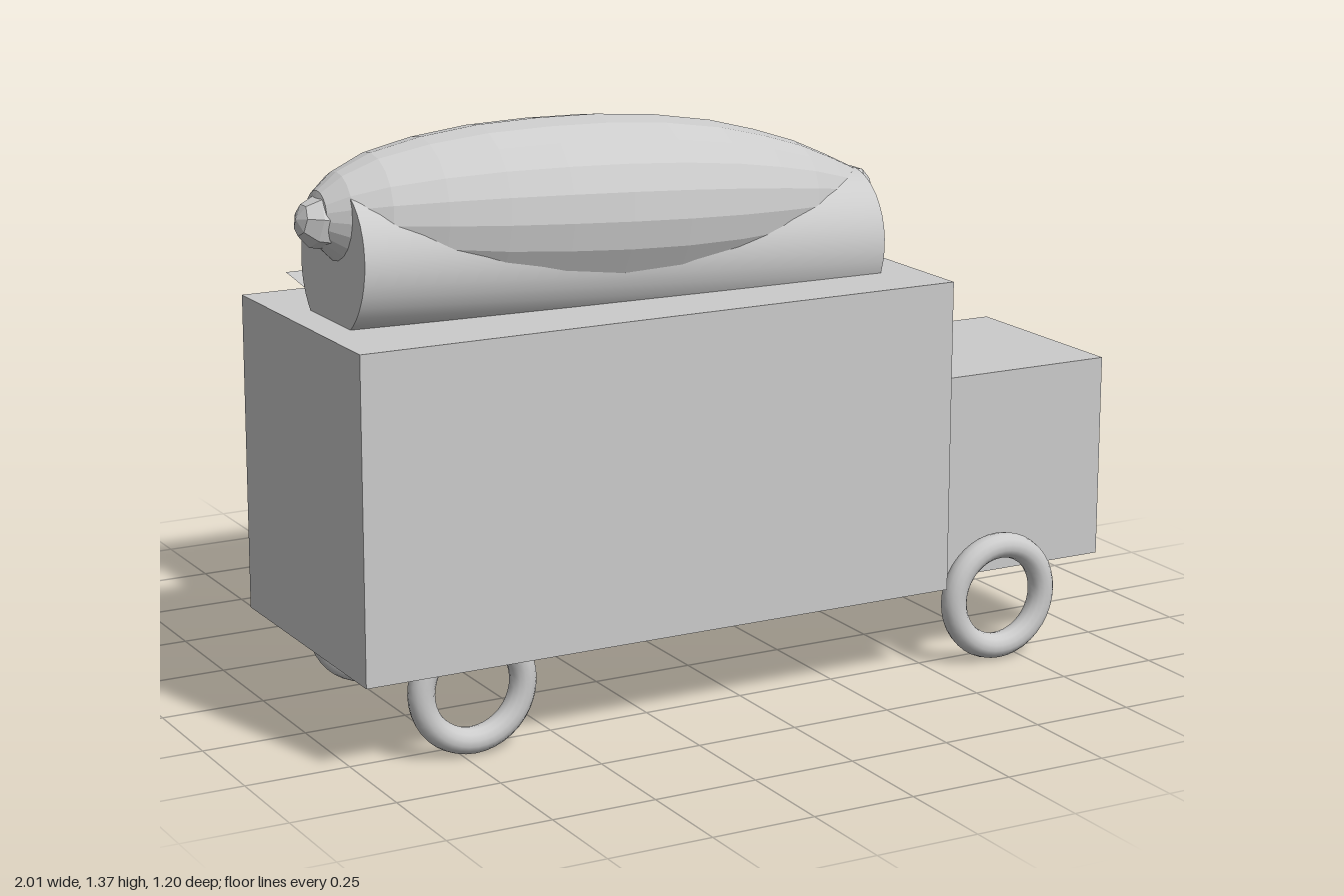
import * as THREE from 'three';

const grey = new THREE.MeshStandardMaterial({ color: 0xcccccc });
const facetedGrey = new THREE.MeshStandardMaterial({ color: 0xcccccc, flatShading: true });
const thinGrey = new THREE.MeshStandardMaterial({ color: 0xcccccc, side: THREE.DoubleSide });

export function createModel() {
  const model = new THREE.Group();
  model.name = 'foodTruck';

  const add = (name, geometry, material, x, y, z) => {
    const mesh = new THREE.Mesh(geometry, material);
    mesh.name = name;
    mesh.position.set(x, y, z);
    model.add(mesh);
    return mesh;
  };

  // Box given by its limits on each axis
  const addBox = (name, [x0, x1], [y0, y1], [z0, z1]) =>
    add(name, new THREE.BoxGeometry(x1 - x0, y1 - y0, z1 - z0), grey,
      (x0 + x1) / 2, (y0 + y1) / 2, (z0 + z1) / 2);

  // Body and cab
  addBox('body', [-1, 0.51], [0.215, 0.965], [-0.062, 0.6]);
  addBox('cab', [0.51, 1], [0.215, 0.71], [0.02, 0.52]);

  // Wheels: plain rings
  for (const [end, x] of [['rear', -0.72], ['front', 0.69]]) {
    for (const [side, z] of [['Right', 0.55], ['Left', -0.013]]) {
      add(`${end}Wheel${side}`, new THREE.TorusGeometry(0.126, 0.031, 14, 40), grey, x, 0.16, z);
    }
  }

  // Serving hatch on the back side and its raised awning
  add('servingHatch', new THREE.PlaneGeometry(0.945, 0.36), thinGrey, -0.195, 0.63, -0.065);
  const awningLength = Math.hypot(0.535, 0.07);
  const awning = add('awning', new THREE.PlaneGeometry(0.945, awningLength), thinGrey,
    -0.195, 0.845, -0.333);
  awning.rotation.x = -Math.PI / 2 + Math.atan2(0.07, 0.535);

  // Bun: a cylinder lying along x, sloping slightly down towards the cab
  const bunGeometry = new THREE.CylinderGeometry(0.175, 0.175, 1.335, 40);
  bunGeometry.rotateZ(-Math.PI / 2);
  add('bun', bunGeometry, grey, -0.25, 1.06, 0.27).rotation.z = -0.06;

  // Sausage: faceted lathe, [position along the axis, radius]
  const profile = [
    [-0.7, 0], [-0.685, 0.06], [-0.64, 0.1], [-0.56, 0.14], [-0.44, 0.172],
    [-0.3, 0.195], [-0.15, 0.207], [0, 0.212], [0.15, 0.207], [0.3, 0.19],
    [0.42, 0.165], [0.53, 0.135], [0.62, 0.1], [0.69, 0.07], [0.715, 0],
  ].map(([x, r]) => new THREE.Vector2(r, x));
  const sausageGeometry = new THREE.LatheGeometry(profile, 20);
  sausageGeometry.rotateZ(-Math.PI / 2);
  add('sausage', sausageGeometry, facetedGrey, -0.27, 1.163, 0.272).rotation.z = -0.055;

  // Knotted sausage tips
  for (const [name, x, y, z] of [
    ['rearTip', -0.945, 1.19, 0.28], ['frontTip', 0.415, 1.14, 0.272],
  ]) {
    const tip = add(name, new THREE.SphereGeometry(0.062, 7, 5), facetedGrey, x, y, z);
    tip.rotation.z = Math.PI / 2 - 0.2;
  }

  return model;
}
